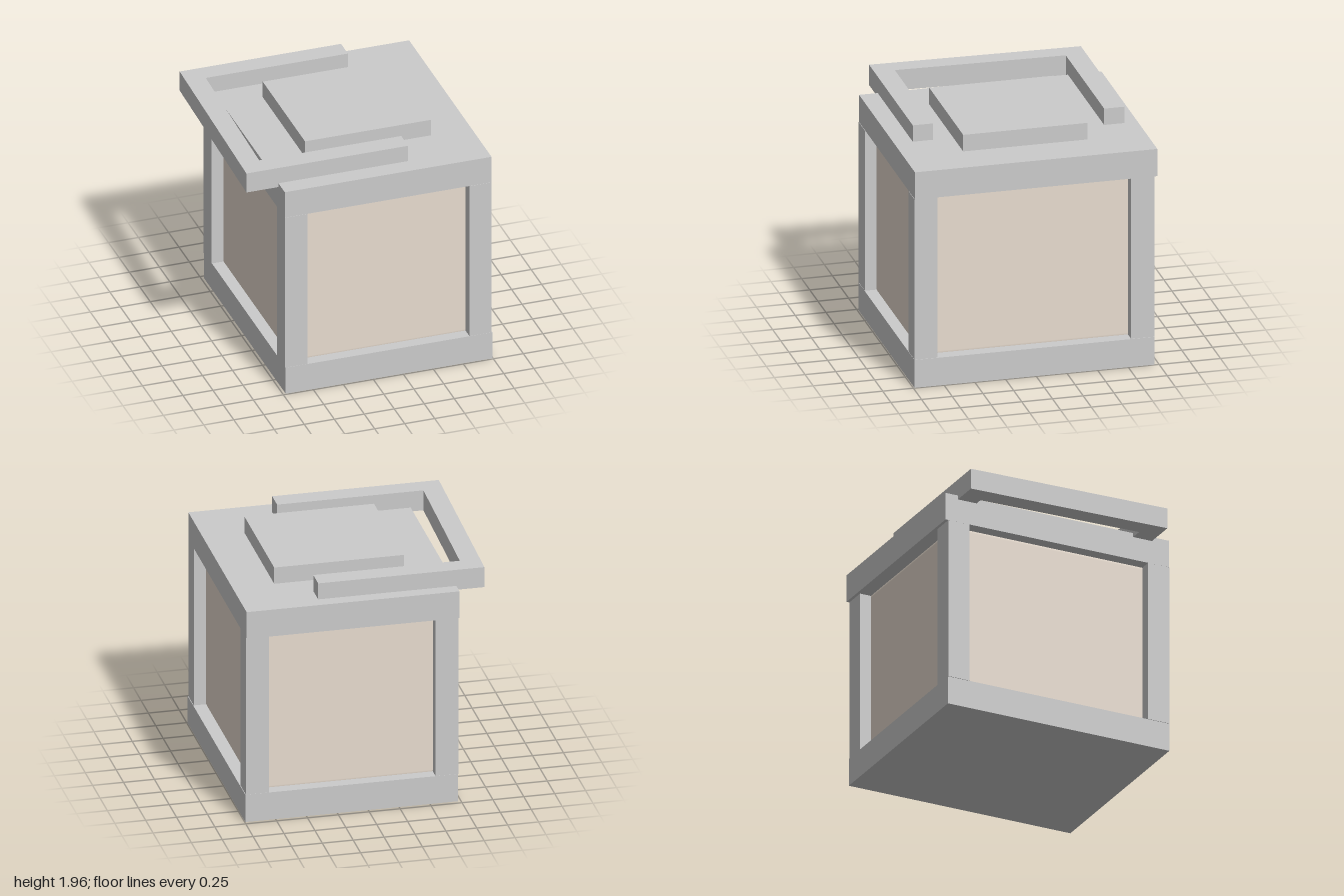
import * as THREE from 'three';
import { RoundedBoxGeometry } from 'three/addons/geometries/RoundedBoxGeometry.js';

const grey = new THREE.MeshStandardMaterial({ color: 0xcccccc });
const cream = new THREE.MeshStandardMaterial({ color: 0xe8dccf });

export function createModel() {
  const group = new THREE.Group();
  group.name = 'lantern';

  const add = (name, geometry, material = grey) => {
    const mesh = new THREE.Mesh(geometry, material);
    mesh.name = name;
    group.add(mesh);
    return mesh;
  };
  // Box given by its lower and upper limits on each axis
  const box = (name, [x0, x1], [y0, y1], [z0, z1]) =>
    add(name, new THREE.BoxGeometry(x1 - x0, y1 - y0, z1 - z0))
      .position.set((x0 + x1) / 2, (y0 + y1) / 2, (z0 + z1) / 2);

  // Base, lid and the raised cap on the lid
  box('base', [-0.727, 0.995], [0, 0.235], [-0.965, 0.99]);
  box('lid', [-0.733, 0.99], [1.59, 1.82], [-0.988, 0.985]);
  box('cap', [-0.397, 0.652], [1.81, 1.96], [-0.508, 0.503]);

  // Four corner posts
  for (const x of [[-0.732, -0.545], [0.805, 0.99]])
    for (const z of [[-0.963, -0.775], [0.80, 0.988]])
      box('cornerPost', x, [0.235, 1.59], z);

  // Softly rounded glowing body, set back behind the posts
  add('glassBody', new RoundedBoxGeometry(1.525, 1.52, 1.765, 3, 0.1), cream)
    .position.set(0.13, 0.91, 0.0125);

  // U-shaped handle lying on the lid; outline as [x, z]
  const outline = [
    [-0.96, -0.88], [0.385, -0.88], [0.385, -0.715], [-0.80, -0.715],
    [-0.836, 0.667], [0.348, 0.667], [0.348, 0.833], [-1, 0.833],
  ];
  const shape = new THREE.Shape(outline.map(([x, z]) => new THREE.Vector2(x, -z)));
  const handle = new THREE.ExtrudeGeometry(shape, { depth: 0.172, bevelEnabled: false });
  handle.rotateX(-Math.PI / 2);
  add('handle', handle).position.y = 1.786;

  return group;
}
